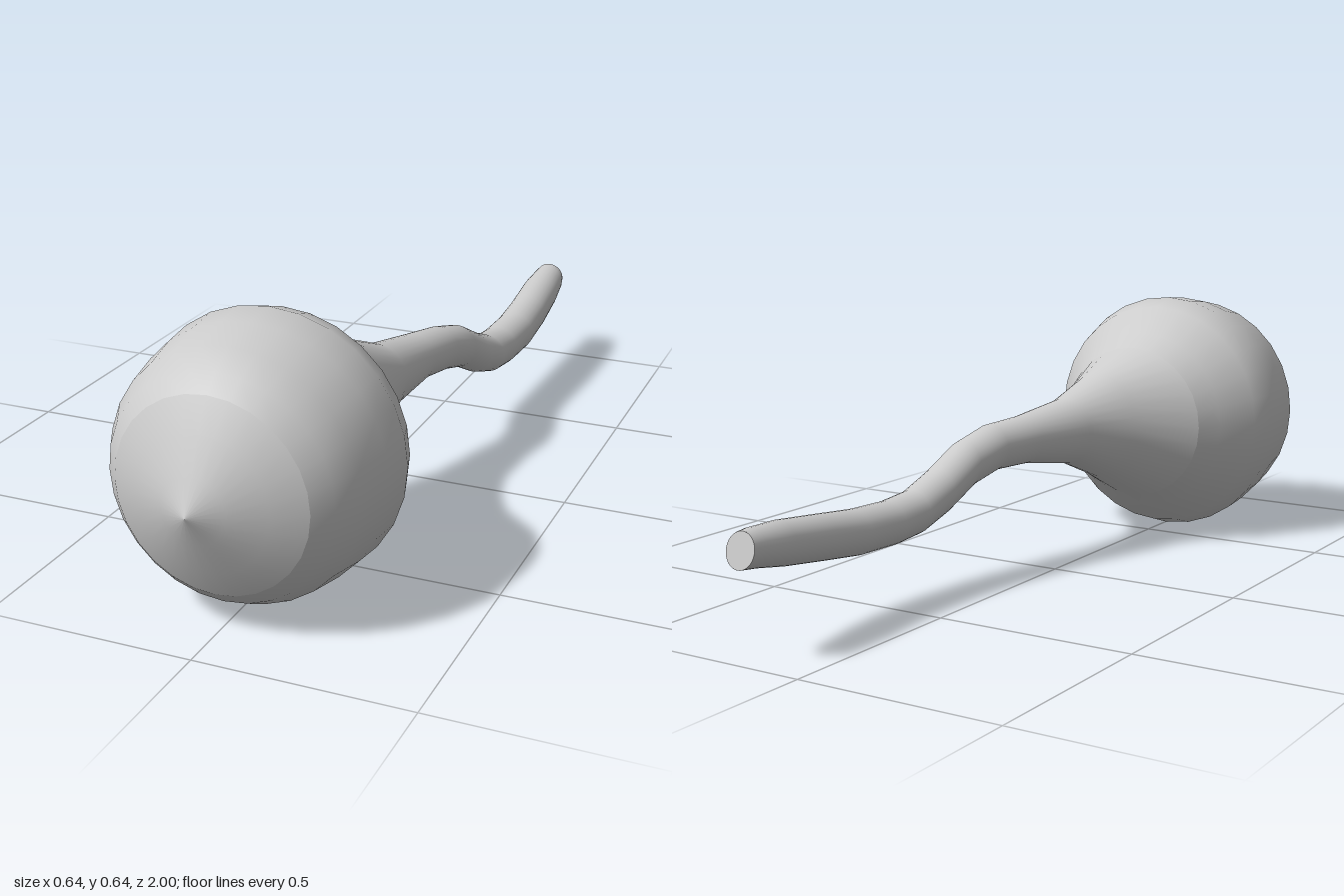
import * as THREE from 'three';

const SIDES = 28;
const AXIS_Y = 0.324;
const material = new THREE.MeshStandardMaterial({ color: 0xcccccc, side: THREE.DoubleSide });

// Surface of revolution around z from [radius, z] pairs, ordered back to front
function revolve(name, profile) {
  const points = profile.map(([r, z]) => new THREE.Vector2(r, z));
  const geometry = new THREE.LatheGeometry(points, SIDES).rotateX(Math.PI / 2);
  const mesh = new THREE.Mesh(geometry, material);
  mesh.name = name;
  mesh.position.y = AXIS_Y;
  return mesh;
}

// Skin over elliptical rings [z, centre x, centre y, radius x, radius y, lean]
function loft(rings) {
  const positions = [], index = [];
  for (const [z, cx, cy, rx, ry, lean = 0] of rings) {
    for (let i = 0; i < SIDES; i++) {
      const a = (i / SIDES) * Math.PI * 2;
      positions.push(cx + rx * Math.cos(a), cy + ry * Math.sin(a), z + lean * Math.sin(a));
    }
  }
  for (let k = 0; k < rings.length - 1; k++) {
    for (let i = 0; i < SIDES; i++) {
      const a = k * SIDES + i, b = k * SIDES + (i + 1) % SIDES;
      index.push(a, a + SIDES, b, b, a + SIDES, b + SIDES);
    }
  }
  // Rings advance toward -z, so reverse the winding to face outward
  for (let i = 0; i < index.length; i += 3) {
    [index[i + 1], index[i + 2]] = [index[i + 2], index[i + 1]];
  }
  const geometry = new THREE.BufferGeometry();
  geometry.setAttribute('position', new THREE.Float32BufferAttribute(positions, 3));
  geometry.setIndex(index);
  geometry.computeVertexNormals();
  return geometry;
}

export function createModel() {
  const model = new THREE.Group();
  model.name = 'bulbWithTail';

  // Round bulb and its shallow pointed nose, with a crease between them
  model.add(revolve('bulb', [
    [0.202, 0.40], [0.238, 0.455], [0.30, 0.54], [0.321, 0.605],
    [0.313, 0.69], [0.294, 0.79], [0.262, 0.85], [0.225, 0.89],
  ]));
  model.add(revolve('nose', [
    [0.225, 0.89], [0.155, 0.93], [0.075, 0.965], [0, 1],
  ]));

  // Tapering neck that runs into the wavy tail
  const rings = [
    [0.40, 0.0, AXIS_Y, 0.202, 0.202],
    [0.28, 0.038, 0.328, 0.115, 0.138],
    [0.16, 0.066, 0.33, 0.077, 0.086],
    [0.0, 0.097, 0.33, 0.061, 0.061],
    [-0.10, 0.127, 0.323, 0.055, 0.058],
    [-0.20, 0.14, 0.296, 0.054, 0.057],
    [-0.30, 0.149, 0.245, 0.054, 0.056],
    [-0.39, 0.155, 0.212, 0.054, 0.053],
    [-0.48, 0.16, 0.203, 0.055, 0.053],
    [-0.60, 0.166, 0.205, 0.055, 0.054],
    [-0.72, 0.166, 0.219, 0.054, 0.053],
    [-0.86, 0.16, 0.237, 0.052, 0.051],
    [-0.95, 0.156, 0.247, 0.045, 0.044],
    [-0.99, 0.152, 0.25, 0.039, 0.04, 0.01],
  ];
  const tail = new THREE.Mesh(loft(rings), material);
  tail.name = 'neckAndTail';
  model.add(tail);

  // Flat cap closing the leaning tail end
  const cap = new THREE.Mesh(new THREE.CircleGeometry(1, SIDES), material);
  cap.name = 'tailEnd';
  cap.scale.set(0.039, 0.0412, 1);
  cap.rotation.set(-Math.atan2(0.01, 0.04), Math.PI, 0);
  cap.rotation.order = 'XYZ';
  cap.rotation.x = Math.atan2(0.01, 0.04);
  cap.position.set(0.152, 0.25, -0.99);
  model.add(cap);

  return model;
}
